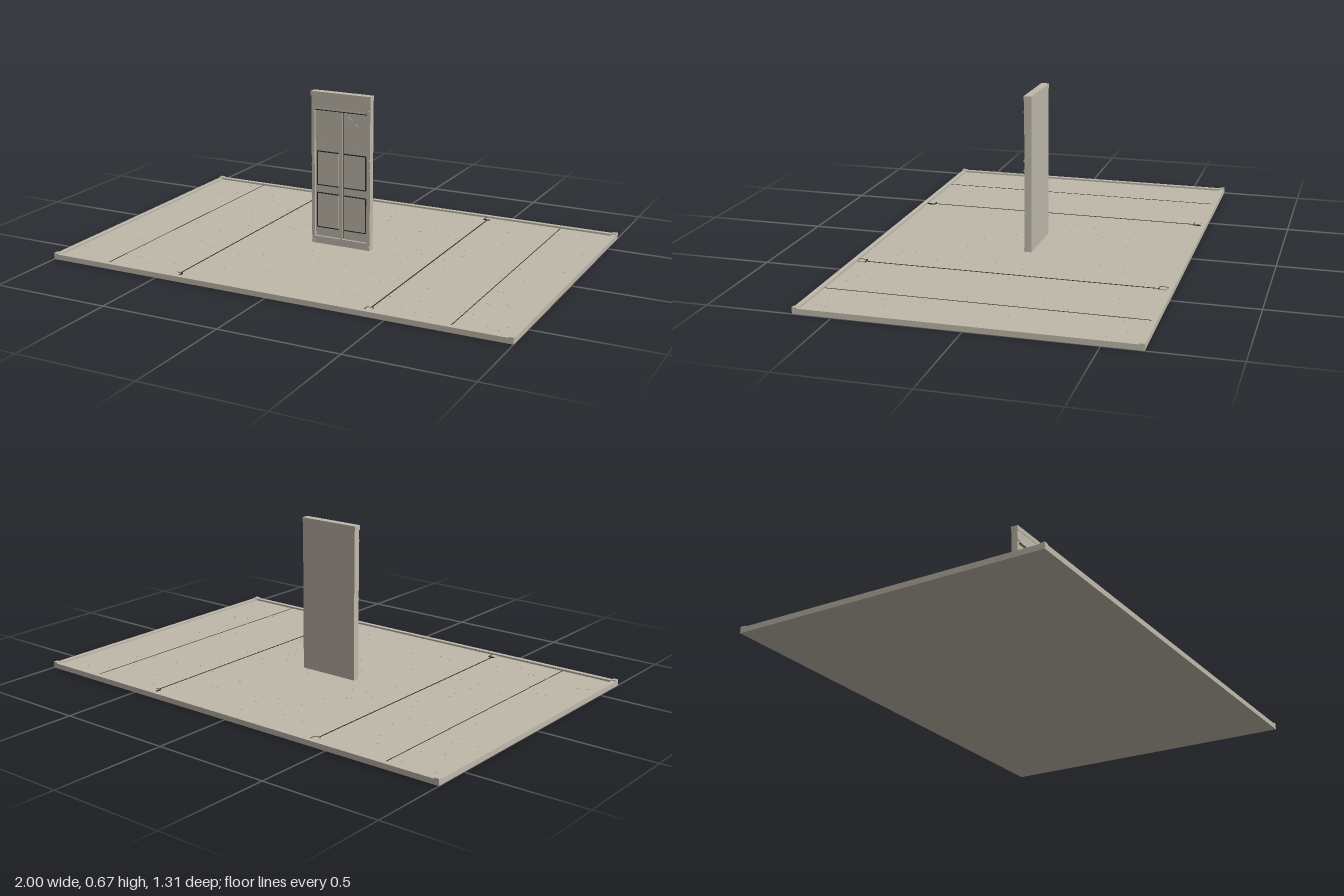
import * as THREE from 'three';

export function createModel() {
  const model = new THREE.Group();
  const stone = new THREE.MeshStandardMaterial({ color: 0xbfb9ab });
  stone.name = 'warm grey stone';
  const dark = new THREE.MeshStandardMaterial({ color: 0x2c2e29 });
  dark.name = 'dark seam';

  // Box given by its min and max on each axis
  function box(name, x0, x1, y0, y1, z0, z1, mat = stone, parent = model) {
    const mesh = new THREE.Mesh(new THREE.BoxGeometry(x1 - x0, y1 - y0, z1 - z0), mat);
    mesh.position.set((x0 + x1) / 2, (y0 + y1) / 2, (z0 + z1) / 2);
    mesh.name = name;
    parent.add(mesh);
    return mesh;
  }

  // Floor slab and raised rim
  const floorY = 0.014, W = 1, D = 0.655, rim = 0.02, rimY = 0.022;
  box('floor', -W + rim, W - rim, 0, floorY, -D + rim, D - rim);
  for (const s of [-1, 1]) {
    const z = s * (D - rim / 2), x = s * (W - rim / 2);
    box('longRim', -W, W, 0, rimY, z - rim / 2, z + rim / 2);
    box('shortRim', x - rim / 2, x + rim / 2, 0, rimY, -D + rim, D - rim);
    for (const t of [-1, 1]) {
      const cz = t * (D - rim / 2);
      box('cornerCap', x - rim / 2, x + rim / 2, rimY, 0.026, cz - rim / 2, cz + rim / 2);
    }
  }

  // Floor seams with a small square bracket at each end
  const seamY = floorY + 0.001;
  for (const s of [-1, 1]) {
    box('mainSeam', s * 0.42 - 0.0025, s * 0.42 + 0.0025, floorY, seamY, -0.6, 0.6, dark);
    box('outerSeam', s * 0.75 - 0.0015, s * 0.75 + 0.0015, floorY, seamY, -0.635, 0.635, dark);
    for (const t of [-1, 1]) {
      const x = s * 0.42, z = t * 0.617;
      box('seamBracket', x - 0.013, x + 0.013, floorY, 0.018, z - 0.017, z + 0.017);
      box('bracketInnerEdge', x - s * 0.013 - 0.002, x - s * 0.013 + 0.002, floorY, 0.0185, z - 0.018, z + 0.018, dark);
      for (const e of [-1, 1])
        box('bracketEndEdge', x - 0.013, x + 0.013, floorY, 0.0185, z + e * 0.017 - 0.0015, z + e * 0.017 + 0.0015, dark);
    }
  }

  // Tiny surface grit on the floor
  let seed = 7;
  const rand = () => (seed = (seed * 16807) % 2147483647) / 2147483647;
  const count = 150;
  const grit = new THREE.InstancedMesh(new THREE.BoxGeometry(0.005, 0.002, 0.005), stone, count);
  grit.name = 'floorGrit';
  const matrix = new THREE.Matrix4();
  for (let i = 0; i < count; i++) {
    matrix.makeTranslation((rand() - 0.5) * 1.9, floorY + 0.001, (rand() - 0.5) * 1.2);
    grit.setMatrixAt(i, matrix);
  }
  model.add(grit);

  // Upright door slab with a recessed front
  const door = new THREE.Group();
  door.name = 'door';
  model.add(door);
  const add = (name, x0, x1, y0, y1, z0, z1, mat) => box(name, x0, x1, y0, y1, z0, z1, mat, door);
  const back = -0.014, face = 0.006, front = 0.016;
  add('doorBack', -0.135, 0.135, floorY, 0.65, back, face);
  add('doorCap', -0.137, 0.137, 0.65, 0.67, -0.015, 0.018);
  add('bottomRail', -0.135, 0.135, floorY, 0.045, face, front);
  add('topRail', -0.135, 0.135, 0.6, 0.65, face, front);
  add('topMoulding', -0.12, 0.12, 0.594, 0.602, face, 0.018);
  add('centreMullion', -0.007, 0.007, 0.045, 0.6, face, front - 0.002);
  for (const s of [-1, 1]) {
    const mid = (name, cx, w, y0, y1, z0, z1, mat) =>
      add(name, s * cx - w / 2, s * cx + w / 2, y0, y1, z0, z1, mat);
    mid('doorStile', 0.128, 0.014, 0.045, 0.6, face, front);
    mid('capShadow', 0.06, 0.12, 0.5925, 0.596, 0.0175, 0.0185, dark);
    mid('mullionSeam', 0.0085, 0.002, 0.05, 0.59, face, face + 0.002, dark);
    // Two outlined panels on each side
    for (const [y0, y1] of [[0.085, 0.235], [0.27, 0.415]]) {
      mid('panel', 0.062, 0.098, y0, y1, face, face + 0.003);
      for (const y of [y0, y1])
        mid('panelEdge', 0.062, 0.1, y - 0.002, y + 0.002, face, face + 0.0045, dark);
      mid('panelSide', 0.112, 0.004, y0, y1, face, face + 0.0045, dark);
    }
    // Slanted ribs and small pegs in the upper part
    const rib = mid('slantedRib', 0.045, 0.075, 0.559, 0.563, face, face + 0.002);
    rib.rotation.z = -s * 0.72;
    mid('peg', 0.075, 0.006, 0.452, 0.458, face, face + 0.003);
    for (const y of [0.025, 0.36, 0.402, 0.605])
      mid('hinge', 0.128, 0.012, y - 0.004, y + 0.004, front, front + 0.003);
  }
  return model;
}
